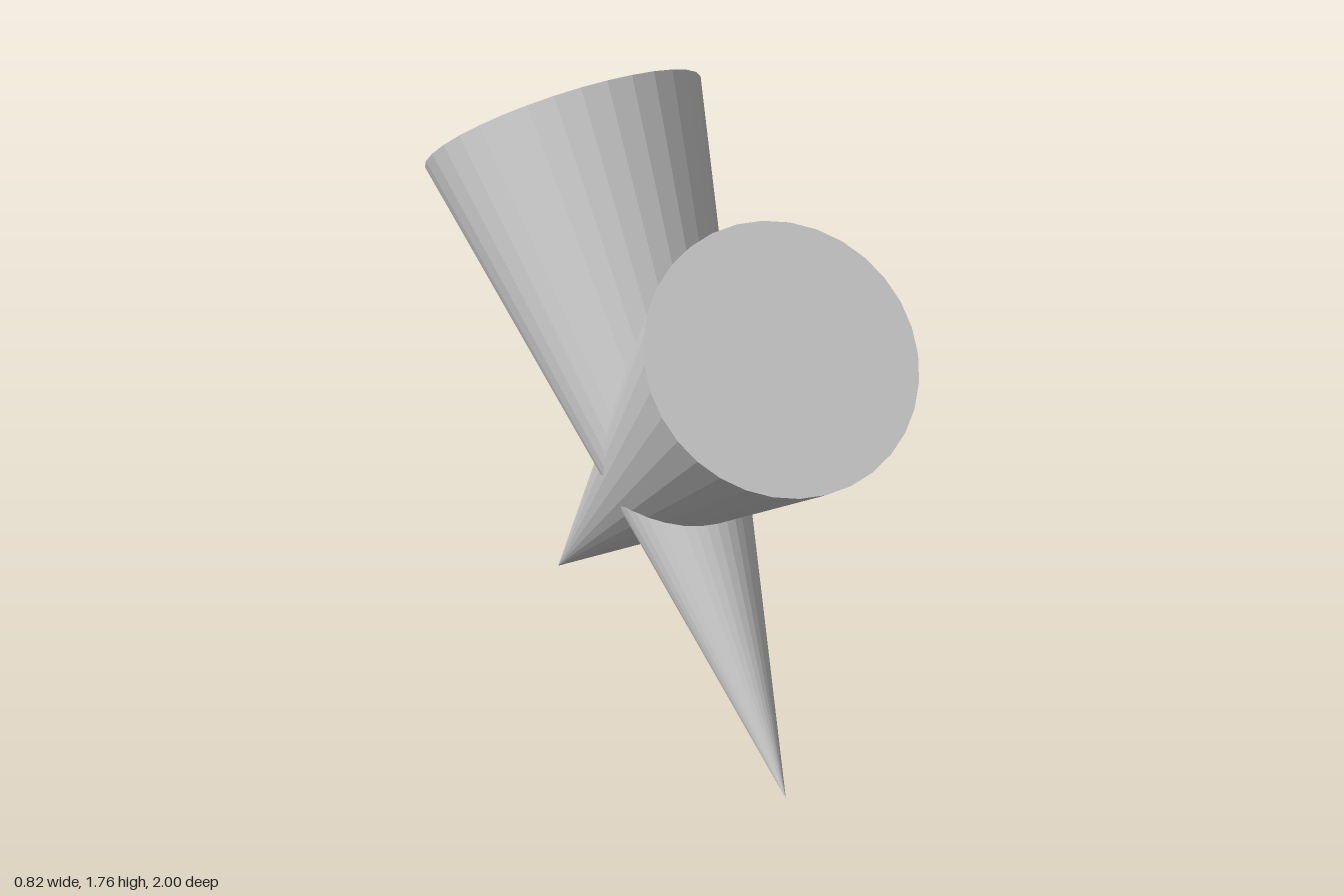
import * as THREE from 'three';

const RADIUS = 0.41;
const LENGTH = 2.05;
const SIDES = 32;

export function createModel() {
  const model = new THREE.Group();
  model.name = 'crossedCones';
  const material = new THREE.MeshStandardMaterial({ color: 0xcccccc, flatShading: true });

  // A cone lying in the x = 0 plane, tip pointing down at 45 degrees
  function addCone(name, tipSide, y) {
    const cone = new THREE.Mesh(new THREE.ConeGeometry(RADIUS, LENGTH, SIDES), material);
    cone.name = name;
    cone.rotation.x = tipSide * Math.PI * 0.75;
    cone.position.set(0, y, tipSide * 0.015);
    model.add(cone);
  }

  addCone('backLeaningCone', 1, 0.755); // tip at the front, base up at the back
  addCone('frontLeaningCone', -1, 0.73); // tip at the back, base up at the front

  return model;
}
